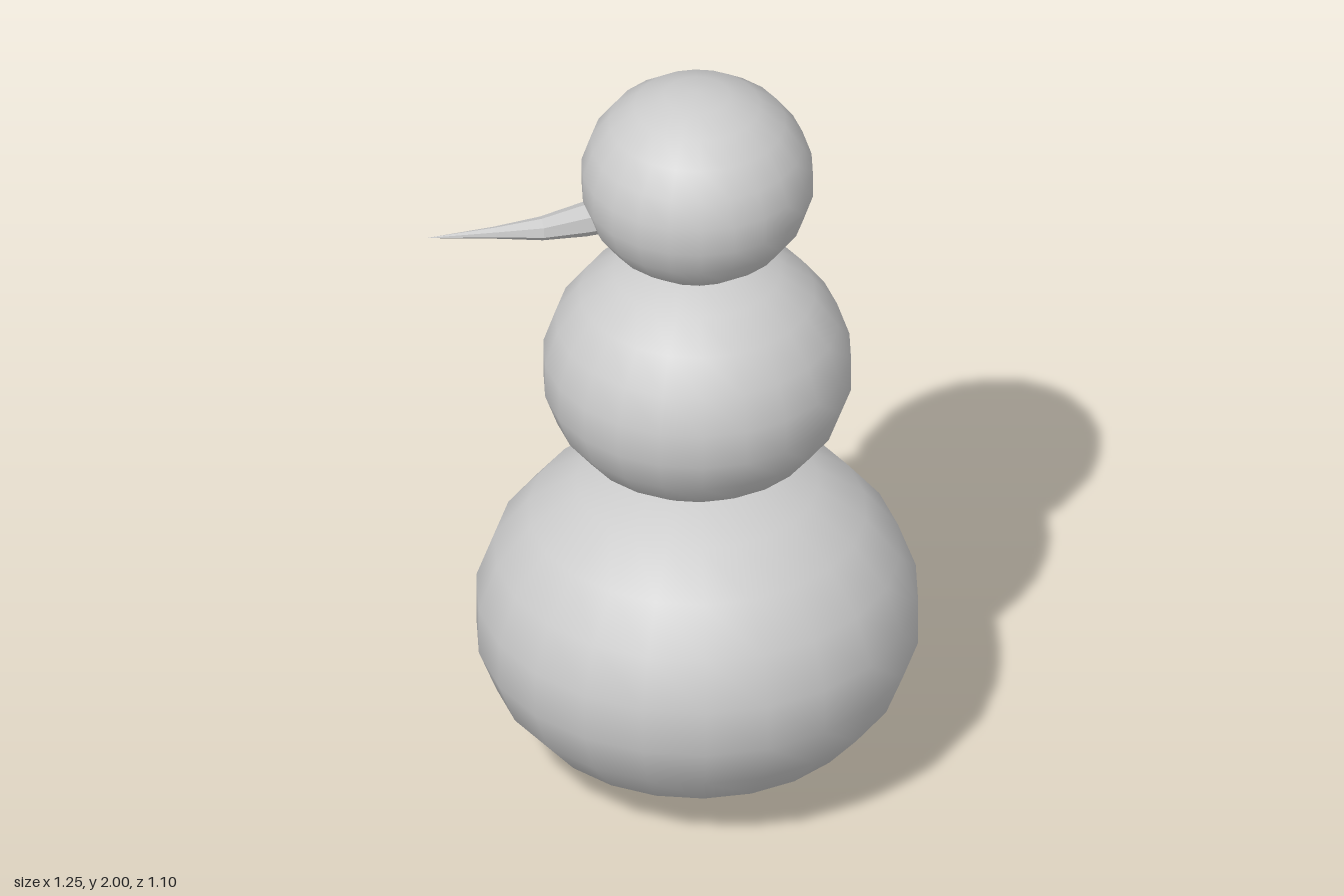
import * as THREE from 'three';

const AXIS_X = 0.07; // the stacked balls stand slightly off centre because of the nose

// Smooth ball with separate upper and lower heights
function ball(name, y, radius, up, down, material) {
  const geo = new THREE.SphereGeometry(1, 22, 11);
  const pos = geo.attributes.position;
  const nor = geo.attributes.normal;
  const n = new THREE.Vector3();
  for (let i = 0; i < pos.count; i++) {
    const px = pos.getX(i), py = pos.getY(i), pz = pos.getZ(i);
    const h = py > 0 ? up : down;
    n.set(px / radius, py / h, pz / radius).normalize();
    pos.setXYZ(i, px * radius, py * h, pz * radius);
    nor.setXYZ(i, n.x, n.y, n.z);
  }
  const mesh = new THREE.Mesh(geo, material);
  mesh.name = name;
  mesh.position.set(AXIS_X, y, 0);
  return mesh;
}

// Crooked tapering nose: rings [x, y, z, half height, half depth] joined up to a tip
function carrot(material) {
  const rings = [
    [-0.1, 1.65, -0.015, 0.045, 0.048],
    [-0.215, 1.652, 0.003, 0.043, 0.047],
    [-0.33, 1.657, 0.031, 0.029, 0.034],
    [-0.45, 1.664, 0.038, 0.015, 0.017],
    [-0.625, 1.667, 0.035, 0, 0],
  ];
  const sides = 7;
  const verts = [];
  const index = [];
  for (const [x, y, z, h, d] of rings) {
    for (let s = 0; s < sides; s++) {
      const a = (s / sides) * Math.PI * 2;
      verts.push(x, y + Math.cos(a) * h, z + Math.sin(a) * d);
    }
  }
  for (let r = 0; r < rings.length - 1; r++) {
    for (let s = 0; s < sides; s++) {
      const a = r * sides + s;
      const b = r * sides + ((s + 1) % sides);
      index.push(a, a + sides, b);
      if (r < rings.length - 2) index.push(b, a + sides, b + sides);
    }
  }
  const geo = new THREE.BufferGeometry();
  geo.setAttribute('position', new THREE.Float32BufferAttribute(verts, 3));
  geo.setIndex(index);
  geo.computeVertexNormals();
  const mesh = new THREE.Mesh(geo, material);
  mesh.name = 'nose';
  return mesh;
}

export function createModel() {
  const snow = new THREE.MeshStandardMaterial({ color: 0xcccccc });
  const faceted = new THREE.MeshStandardMaterial({
    color: 0xcccccc, flatShading: true, side: THREE.DoubleSide,
  });
  const group = new THREE.Group();
  group.name = 'snowman';
  group.add(
    ball('base', 0.43, 0.56, 0.465, 0.43, snow),
    ball('torso', 1.17, 0.39, 0.345, 0.32, snow),
    ball('head', 1.74, 0.293, 0.26, 0.26, snow),
    carrot(faceted),
  );
  return group;
}
